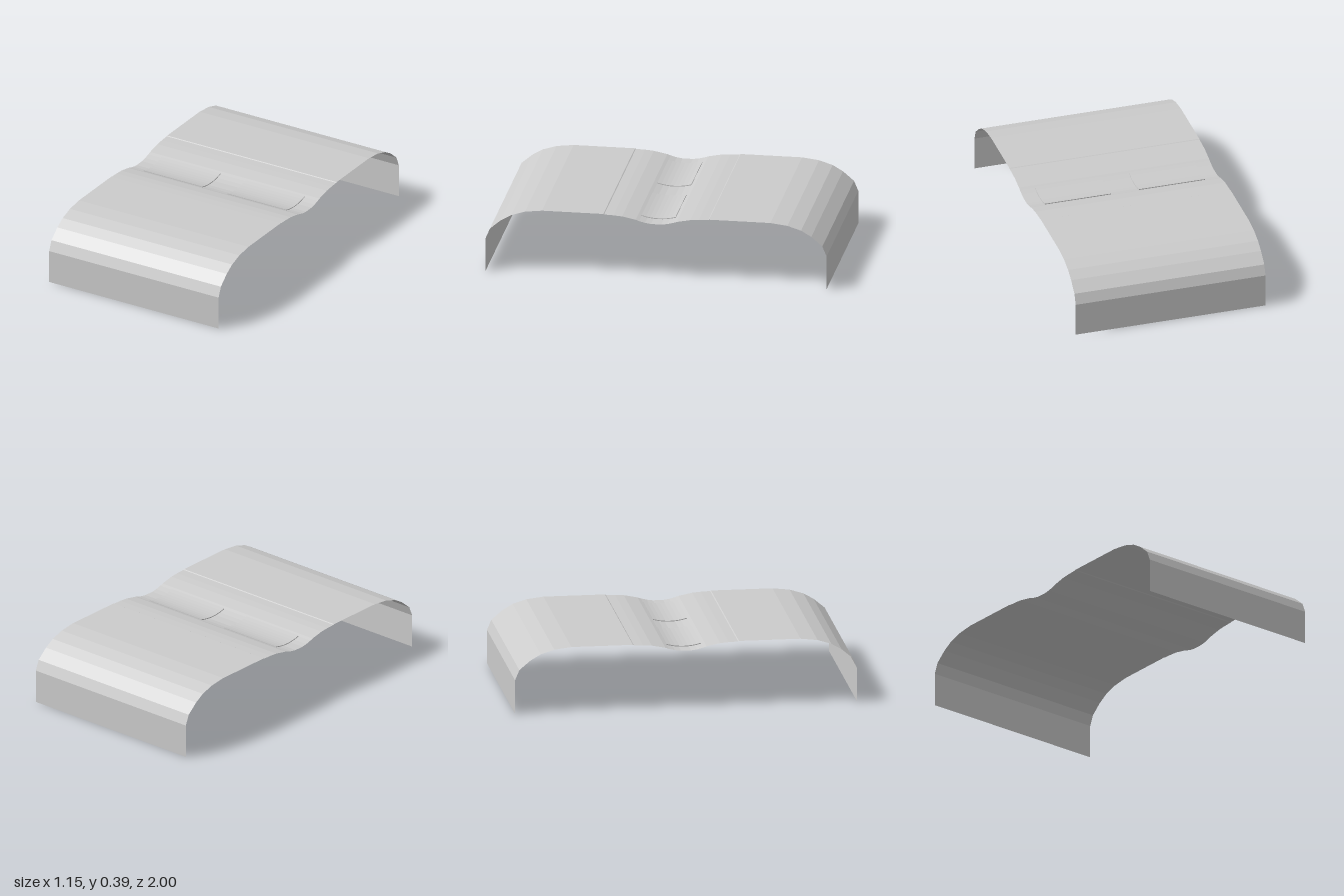
import * as THREE from 'three';

const WIDTH = 1.15;

// Half of the sheet's cross-section as [z, y], from the outer foot to the middle
const HALF = [
  [1, 0], [1, 0.2], [0.975, 0.26], [0.91, 0.315], [0.85, 0.35], [0.77, 0.375], [0.67, 0.387],
  [0.31, 0.387], [0.305, 0.384], [0.25, 0.382], [0.2, 0.378], [0.16, 0.37], [0.12, 0.362],
  [0.1, 0.355], [0.065, 0.346], [0.03, 0.341],
];

export function createModel() {
  const group = new THREE.Group();
  const material = new THREE.MeshStandardMaterial({
    color: 0xcccccc, flatShading: true, side: THREE.DoubleSide,
  });

  // Thin bent sheet: a plane whose rows follow the mirrored cross-section, back to front
  const profile = [...HALF.map(([z, y]) => [-z, y]), ...[...HALF].reverse()];
  const sheetGeometry = new THREE.PlaneGeometry(WIDTH, 1, 1, profile.length - 1);
  const position = sheetGeometry.attributes.position;
  for (let i = 0; i < position.count; i++) {
    const [z, y] = profile[Math.floor(i / 2)];
    position.setXYZ(i, position.getX(i), y, z);
  }
  sheetGeometry.computeVertexNormals();
  const sheet = new THREE.Mesh(sheetGeometry, material);
  sheet.name = 'bentSheet';
  group.add(sheet);

  // Two thin curved pads lying in the middle trough
  const steps = 8;
  const arc = (base) => Array.from({ length: steps + 1 }, (_, i) => {
    const z = -0.1 + (0.2 * i) / steps;
    return new THREE.Vector2(z, base + 1.45 * z * z);
  });
  const padShape = new THREE.Shape([...arc(0.341), ...arc(0.346).reverse()]);
  for (const side of [1, -1]) {
    const geometry = new THREE.ExtrudeGeometry(padShape, { depth: 0.4, bevelEnabled: false });
    geometry.translate(0, 0, -0.2).rotateY(Math.PI / 2);
    const pad = new THREE.Mesh(geometry, material);
    pad.name = side > 0 ? 'leftPad' : 'rightPad';
    pad.position.x = side * 0.285;
    group.add(pad);
  }
  return group;
}
